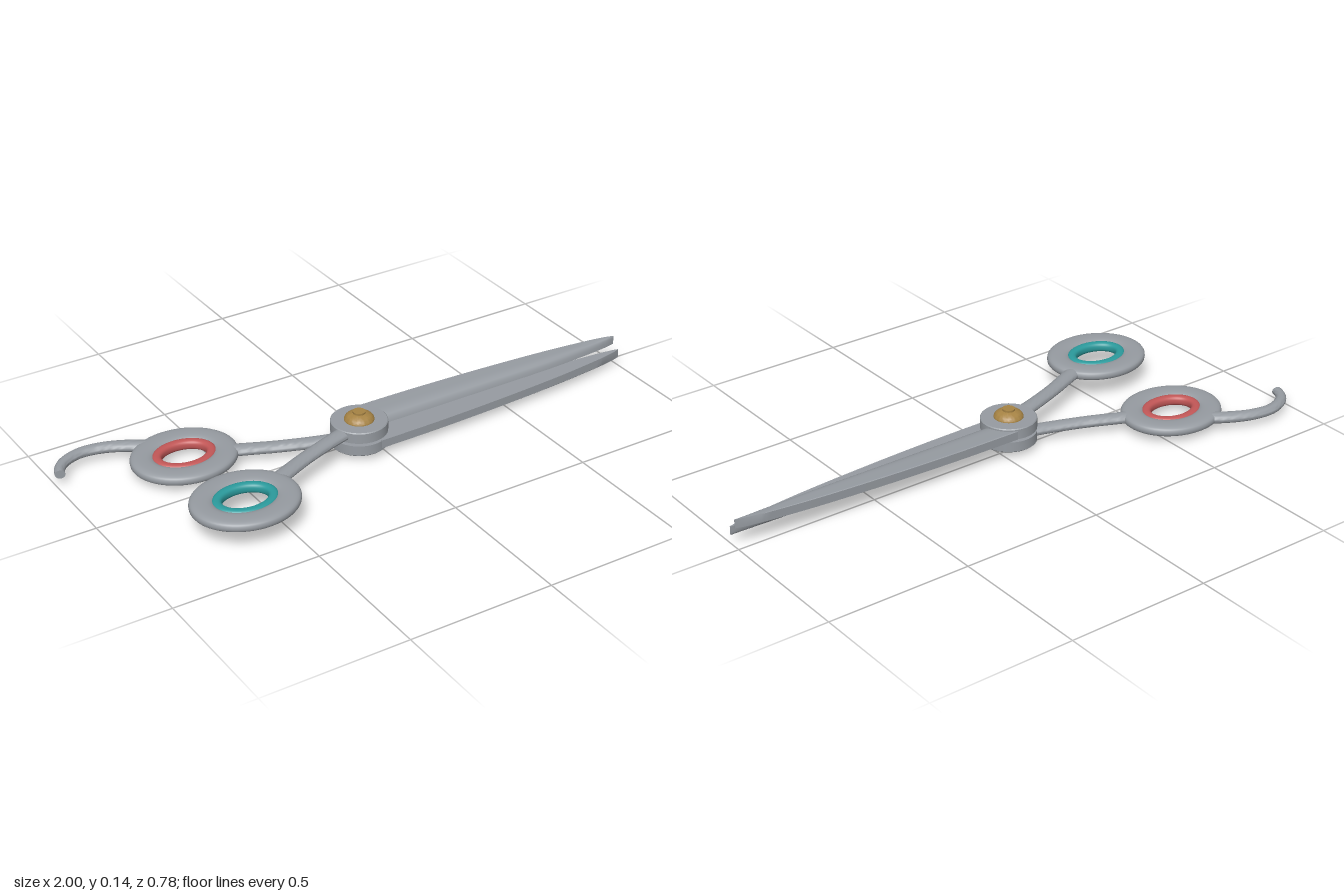
import * as THREE from 'three';
import { mergeVertices, toCreasedNormals } from 'three/addons/utils/BufferGeometryUtils.js';

const mat = (name, color) => new THREE.MeshStandardMaterial({ name, color });
const PIVOT = { x: -0.06, y: 0.065, z: 0.03 };

function part(name, geometry, material, x = 0, y = 0, z = 0) {
  const mesh = new THREE.Mesh(geometry, material);
  mesh.name = name;
  mesh.position.set(x, y, z);
  return mesh;
}

// Skin a closed solid through a row of equal-sized cross-sections
function loft(sections, crease) {
  const n = sections[0].length, last = sections.length - 1;
  const pos = sections.flat().flatMap(p => [p.x, p.y, p.z]);
  const idx = [];
  for (let i = 0; i < last; i++) {
    for (let j = 0; j < n; j++) {
      const k = (j + 1) % n, a = i * n, b = a + n;
      idx.push(a + j, a + k, b + j, a + k, b + k, b + j);
    }
  }
  for (let j = 1; j < n - 1; j++) {
    idx.push(0, j + 1, j, last * n, last * n + j, last * n + j + 1);
  }
  const g = new THREE.BufferGeometry();
  g.setAttribute('position', new THREE.Float32BufferAttribute(pos, 3));
  g.setIndex(idx);
  return toCreasedNormals(g, crease);
}

// Oval bar along a flat curve; width is a function of t
function bar(points, width, height, y) {
  const curve = new THREE.CatmullRomCurve3(points.map(([x, z]) => new THREE.Vector3(x, y, z)));
  const up = new THREE.Vector3(0, 1, 0), sections = [];
  for (let i = 0; i <= 28; i++) {
    const t = i / 28, c = curve.getPointAt(t);
    const side = curve.getTangentAt(t).cross(up).normalize();
    const ring = [];
    for (let j = 0; j < 20; j++) {
      const a = j / 20 * Math.PI * 2;
      ring.push(c.clone().addScaledVector(up, Math.cos(a) * height(t))
        .addScaledVector(side, Math.sin(a) * width(t)));
    }
    sections.push(ring);
  }
  return loft(sections, 0.8);
}

// Oval ring with a rounded section; z radius is a fixed step less than x radius
function ovalRing(rIn, rOut, half, power) {
  const rm = (rIn + rOut) / 2, rw = (rOut - rIn) / 2, profile = [];
  const soft = v => Math.sign(v) * Math.abs(v) ** power;
  for (let i = 0; i <= 24; i++) {
    const a = i / 24 * Math.PI * 2;
    profile.push(new THREE.Vector2(rm + rw * soft(Math.cos(a)), half * soft(Math.sin(a))));
  }
  let g = new THREE.LatheGeometry(profile, 64);
  const p = g.attributes.position;
  for (let i = 0; i < p.count; i++) {
    const r = Math.hypot(p.getX(i), p.getZ(i));
    p.setZ(i, p.getZ(i) * (r - 0.022) / r);
  }
  g.deleteAttribute('uv');
  g.deleteAttribute('normal');
  g = mergeVertices(g, 1e-5);
  g.computeVertexNormals();
  return g;
}

function turned(points, sides = 48) {
  return toCreasedNormals(new THREE.LatheGeometry(points.map(([r, y]) => new THREE.Vector2(r, y)), sides), 0.5);
}

// Tapered blade: flat inside, square spine, rounded bevel to the cutting edge
function bladeGeometry() {
  const line = pts => new THREE.SplineCurve(pts.map(([x, z]) => new THREE.Vector2(x, z)));
  const spine = line([[-0.03, -0.09], [0.2, -0.087], [0.45, -0.077], [0.7, -0.06], [0.88, -0.04], [0.96, -0.027], [1, -0.016]]);
  const edge = line([[-0.03, 0.014], [0.2, 0.014], [0.45, 0.013], [0.7, 0.011], [0.88, 0.001], [0.96, -0.007], [1, -0.014]]);
  const sections = [];
  for (let i = 0; i <= 36; i++) {
    const s = spine.getPoint(i / 36), e = edge.getPoint(i / 36).y, w = e - s.y;
    sections.push([
      [0.5, 0.035], [0.64, 0.0342], [0.77, 0.032], [0.88, 0.027], [0.96, 0.018],
      [1, 0.004], [0, 0.004], [0, 0.033], [0.03, 0.035],
    ].map(([f, y]) => new THREE.Vector3(s.x, y, s.y + f * w)));
  }
  return loft(sections, 0.5);
}

export function createModel() {
  const steel = mat('steel', 0x969ba1);
  const brass = mat('brass', 0xa68344);
  const teal = mat('teal', 0x2b9a9c);
  const red = mat('red', 0xc25757);
  const model = new THREE.Group();
  model.name = 'scissors';

  // Shared parts of both halves
  const blade = bladeGeometry();
  const hub = turned([[0, 0.005], [0.095, 0.005], [0.095, 0.04], [0.092, 0.043], [0, 0.043]]);
  const shank = bar([[-0.1, 0.015], [-0.2, 0.046], [-0.32, 0.09], [-0.43, 0.138], [-0.48, 0.158]],
    t => 0.03 - 0.003 * Math.sin(t * Math.PI), () => 0.017, 0.024);
  const bow = ovalRing(0.1, 0.18, 0.019, 0.75);
  const insert = ovalRing(0.076, 0.11, 0.017, 0.8);

  function half(name, color) {
    const g = new THREE.Group();
    g.name = name;
    g.position.set(0, PIVOT.y, PIVOT.z);
    g.add(
      part('blade', blade, steel),
      part('pivotHub', hub, steel, PIVOT.x),
      part('shank', shank, steel),
      part('fingerBow', bow, steel, -0.6, 0.024, 0.2),
      part('bowInsert', insert, color, -0.6, 0.024, 0.2),
    );
    model.add(g);
    return g;
  }

  half('upperHalf', teal);
  const lower = half('lowerHalf', red);
  lower.rotation.x = Math.PI;

  // Hooked finger rest on the lower half
  lower.add(part('fingerRest', bar(
    [[-0.66, 0.31], [-0.72, 0.352], [-0.8, 0.388], [-0.88, 0.397], [-0.945, 0.372], [-0.975, 0.34], [-0.986, 0.312]],
    t => 0.028 - 0.011 * t, t => 0.018 - 0.003 * t, 0.024), steel));

  // Pivot screw: domed head, small cap, shaft and nut
  const dome = [];
  for (let i = 0; i <= 10; i++) {
    const a = i / 10 * Math.PI / 2;
    dome.push([0.05 * Math.cos(a), 0.108 + 0.026 * Math.sin(a)]);
  }
  const screw = new THREE.Group();
  screw.name = 'pivotScrew';
  screw.position.set(PIVOT.x, 0, PIVOT.z);
  screw.add(
    part('screwHead', turned(dome), brass),
    part('screwCap', new THREE.CylinderGeometry(0.021, 0.021, 0.012, 32), brass, 0, 0.132),
    part('screwShaft', new THREE.CylinderGeometry(0.025, 0.025, 0.09, 24), brass, 0, 0.065),
    part('screwNut', turned([[0, 0], [0.037, 0], [0.042, 0.006], [0.042, 0.024], [0, 0.024]]), brass),
  );
  model.add(screw);
  return model;
}
